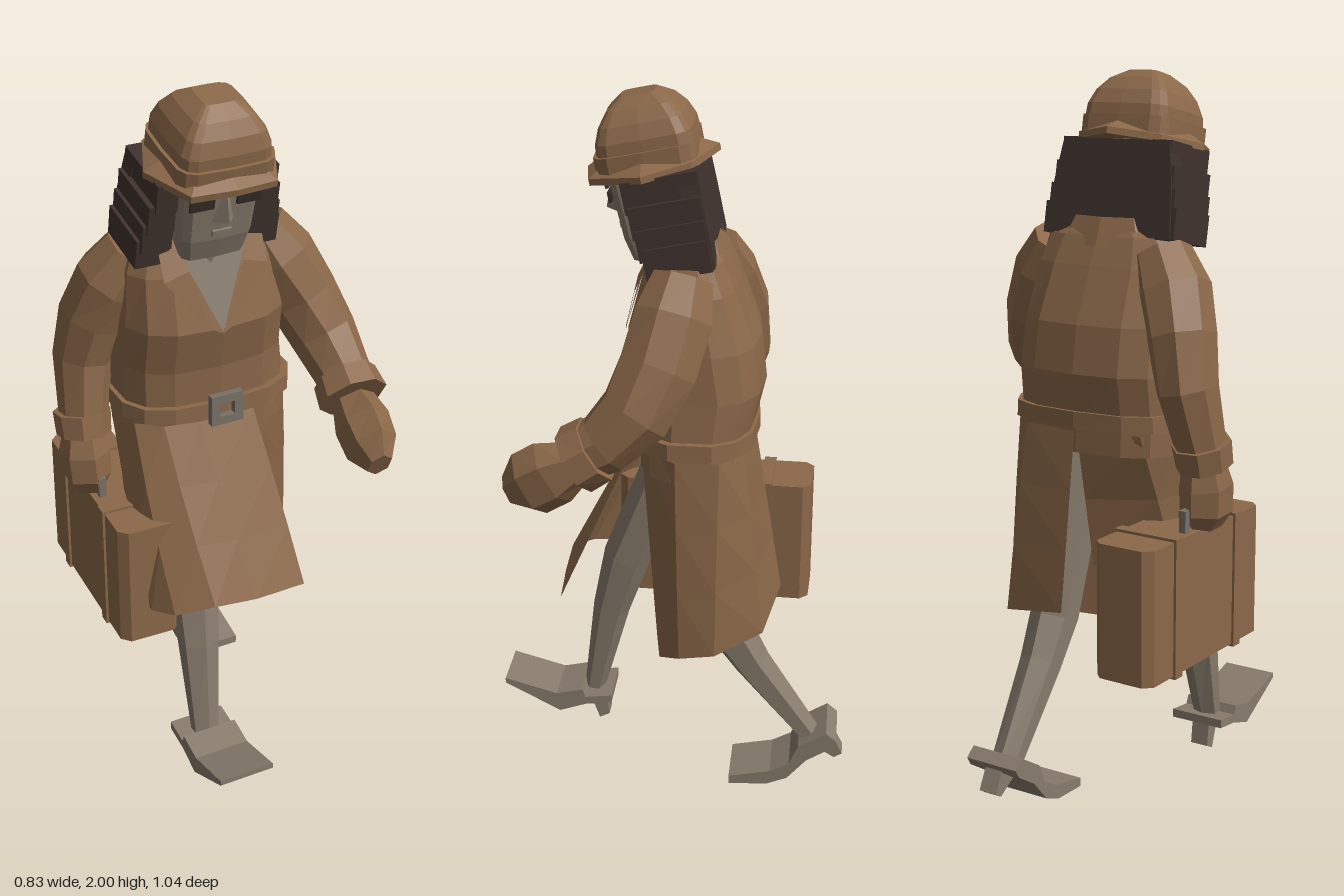
import * as THREE from 'three';

const mat = (name, color, side = THREE.FrontSide) => {
  const m = new THREE.MeshStandardMaterial({ color, flatShading: true, side });
  m.name = name;
  return m;
};
const V = (x, y, z) => new THREE.Vector3(x, y, z);

// Skin a list of cross-sections; rings run anticlockwise about the direction of travel
function loft(rings, closed = true) {
  const pos = [];
  const tri = (...ps) => ps.forEach(p => pos.push(p.x, p.y, p.z));
  const n = rings[0].length;
  for (let j = 0; j < rings.length - 1; j++) {
    for (let i = 0; i < (closed ? n : n - 1); i++) {
      const k = (i + 1) % n, a = rings[j], b = rings[j + 1];
      tri(a[i], a[k], b[k]);
      tri(a[i], b[k], b[i]);
    }
  }
  if (closed) {
    const a = rings[0], b = rings[rings.length - 1];
    for (let i = 1; i < n - 1; i++) { tri(a[0], a[i + 1], a[i]); tri(b[0], b[i], b[i + 1]); }
  }
  const g = new THREE.BufferGeometry();
  g.setAttribute('position', new THREE.Float32BufferAttribute(pos, 3));
  g.computeVertexNormals();
  return g;
}

// Horizontal squarish ring; angles in degrees from the front towards +x
const around = n => Array.from({ length: n }, (_, i) => 360 * i / n);
function ring([y, x0, x1, zf, zb], angles = around(14), pow = 0.72) {
  const soft = v => Math.sign(v) * Math.abs(v) ** pow;
  return angles.map(d => {
    const t = d * Math.PI / 180;
    return V((x0 + x1) / 2 + soft(Math.sin(t)) * (x1 - x0) / 2, y,
      (zf + zb) / 2 + soft(Math.cos(t)) * (zf - zb) / 2);
  });
}

// Limb through points [x, y, z, rx, rz]
function limb(pts, sides = 8) {
  const c = pts.map(p => V(p[0], p[1], p[2]));
  return loft(c.map((p, i) => {
    const t = c[Math.min(i + 1, c.length - 1)].clone().sub(c[Math.max(i - 1, 0)]).normalize();
    const u = V(1, 0, 0).addScaledVector(t, -t.x).normalize();
    const v = t.clone().cross(u);
    return Array.from({ length: sides }, (_, k) => {
      const a = (k + 0.5) / sides * Math.PI * 2;
      return p.clone().addScaledVector(u, Math.cos(a) * pts[i][3]).addScaledVector(v, Math.sin(a) * pts[i][4]);
    });
  }));
}

const shape = pts => new THREE.Shape(pts.map(p => new THREE.Vector2(p[0], p[1])));
const extrude = (s, depth) => new THREE.ExtrudeGeometry(s, { depth, bevelEnabled: false }).translate(0, 0, -depth / 2);
// Side profile of (z, y) points, given a width in x
const profile = (pts, width) => extrude(shape(pts), width).rotateY(-Math.PI / 2);
// Plan outline of (x, z) points, given a height
const plan = (pts, height) => extrude(shape(pts.map(p => [p[0], -p[1]])), height).rotateX(-Math.PI / 2);

export function createModel() {
  const coat = mat('coat brown', 0x8b6849, THREE.DoubleSide);
  const skin = mat('grey skin', 0x877b6c, THREE.DoubleSide);
  const hairMat = mat('dark hair', 0x3f322d);
  const metal = mat('dull metal', 0x777067);
  const dark = mat('dark lens', 0x352d29);

  const model = new THREE.Group();
  const add = (name, geo, material, parent = model) => {
    const m = new THREE.Mesh(geo, material);
    m.name = name;
    parent.add(m);
  };
  const box = (name, w, h, d, x, y, z, material, parent) =>
    add(name, new THREE.BoxGeometry(w, h, d).translate(x, y, z), material, parent);

  // Coat body
  add('coatBody', loft([
    [1.0, -0.26, 0.235, 0.08, -0.235], [1.09, -0.262, 0.228, 0.08, -0.235], [1.22, -0.265, 0.218, 0.088, -0.265],
    [1.35, -0.265, 0.21, 0.118, -0.25], [1.5, -0.255, 0.19, 0.078, -0.19], [1.575, -0.23, 0.165, 0.05, -0.155],
    [1.612, -0.17, 0.09, 0.02, -0.13],
  ].map(r => ring(r))), coat);

  // Skirt: the right half swings forward, the left half swings back
  const panel = (name, top, angles, hem) => {
    const a = ring(top, angles);
    const rows = [0, 0.33, 0.66, 1].map(t => a.map((p, i) =>
      p.clone().lerp(V(...hem[i]), t).add(V(p.x * 0.1 * t * (1 - t), 0, 0))));
    add(name, loft(rows, false), coat);
  };
  panel('leftSkirt', [1.06, -0.262, 0.238, 0.078, -0.24], [-25, 10, 45, 80, 110, 145, 180],
    [[-0.09, 0.44, 0.02], [0.08, 0.44, 0.03], [0.2, 0.44, 0.01], [0.255, 0.47, -0.05],
      [0.265, 0.49, -0.15], [0.19, 0.53, -0.28], [-0.02, 0.57, -0.32]]);
  panel('rightSkirt', [1.06, -0.268, 0.235, 0.088, -0.236], [15, -10, -35, -65, -100, -140, -180],
    [[0.135, 0.58, 0.3], [-0.02, 0.585, 0.31], [-0.15, 0.6, 0.31], [-0.25, 0.57, 0.26],
      [-0.29, 0.555, 0.19], [-0.25, 0.5, -0.03], [-0.04, 0.47, -0.15]]);

  // Belt and buckle
  add('belt', loft([[1.07, -0.278, 0.246, 0.098, -0.25], [1.115, -0.276, 0.244, 0.098, -0.25]].map(r => ring(r))), coat);
  const frame = shape([[-0.048, -0.045], [0.048, -0.045], [0.048, 0.045], [-0.048, 0.045]]);
  frame.holes.push(new THREE.Path([[-0.022, -0.02], [-0.022, 0.02], [0.022, 0.02], [0.022, -0.02]].map(p => new THREE.Vector2(...p))));
  add('buckle', extrude(frame, 0.02).translate(-0.018, 1.1, 0.108), metal);

  // Open neckline, lapels and collar
  add('neckline', loft([[V(-0.135, 1.575, 0.058), V(0.065, 1.575, 0.058)], [V(-0.036, 1.345, 0.125), V(-0.034, 1.345, 0.125)]], false), skin);
  for (const s of [-1, 1]) {
    const x = d => -0.035 + s * d;
    add(s > 0 ? 'leftLapel' : 'rightLapel', loft([
      [V(x(0.09), 1.61, 0.04), V(x(0.15), 1.58, 0.045)], [V(x(0.08), 1.52, 0.082), V(x(0.15), 1.5, 0.082)],
      [V(x(0), 1.34, 0.126), V(x(0.035), 1.36, 0.122)]], false), coat);
  }
  const collarAngles = [35, 70, 105, 140, 180, 220, 255, 290, 325];
  add('collar', loft([[1.55, -0.2, 0.13, 0.06, -0.17], [1.625, -0.16, 0.09, 0.05, -0.14]].map(r => ring(r, collarAngles)), false), coat);

  // Arms, cuffs and hands
  const arm = (side, sleeve, cuff, hand) => {
    add(side + 'Sleeve', limb(sleeve), coat);
    add(side + 'Cuff', limb(cuff), coat);
    add(side + 'Hand', limb(hand, 6), coat);
  };
  arm('left',
    [[0.15, 1.55, -0.05, 0.08, 0.085], [0.2, 1.46, -0.03, 0.105, 0.11], [0.262, 1.34, 0.005, 0.1, 0.11],
      [0.307, 1.23, 0.06, 0.093, 0.1], [0.322, 1.15, 0.14, 0.08, 0.085], [0.32, 1.11, 0.21, 0.075, 0.075]],
    [[0.323, 1.135, 0.16, 0.09, 0.092], [0.32, 1.1, 0.215, 0.099, 0.095]],
    [[0.318, 1.09, 0.22, 0.06, 0.065], [0.312, 1.055, 0.28, 0.074, 0.095], [0.306, 1.015, 0.345, 0.068, 0.095], [0.3, 0.99, 0.4, 0.035, 0.045]]);
  arm('right',
    [[-0.195, 1.53, -0.09, 0.08, 0.085], [-0.25, 1.44, -0.12, 0.1, 0.105], [-0.295, 1.33, -0.155, 0.09, 0.105],
      [-0.322, 1.2, -0.17, 0.08, 0.095], [-0.342, 1.03, -0.13, 0.068, 0.074]],
    [[-0.345, 1.05, -0.135, 0.08, 0.085], [-0.347, 0.985, -0.12, 0.076, 0.082]],
    [[-0.347, 1.0, -0.125, 0.055, 0.06], [-0.35, 0.93, -0.115, 0.07, 0.08], [-0.348, 0.86, -0.11, 0.068, 0.08], [-0.34, 0.82, -0.11, 0.045, 0.06]]);

  // Legs
  add('rightLeg', limb([[-0.12, 0.98, -0.01, 0.07, 0.07], [-0.14, 0.58, 0.145, 0.07, 0.07], [-0.148, 0.4, 0.195, 0.06, 0.055], [-0.155, 0.12, 0.25, 0.042, 0.032]], 6), skin);
  add('leftLeg', limb([[0.08, 0.95, -0.05, 0.07, 0.065], [0.103, 0.5, -0.175, 0.068, 0.07], [0.1, 0.38, -0.25, 0.06, 0.055], [0.095, 0.13, -0.435, 0.045, 0.032]], 6), skin);

  // Shoes with narrow heels
  const shoe = (side, x, body, heel) => {
    add(side + 'Shoe', profile(body, 0.164).translate(x, 0, 0), skin);
    add(side + 'Heel', profile(heel, 0.055).translate(x, 0, 0), skin);
  };
  shoe('right', -0.155,
    [[0.518, 0.15], [0.518, 0.166], [0.36, 0.122], [0.28, 0.14], [0.27, 0.115], [0.19, 0.125], [0.19, 0.1], [0.27, 0.09], [0.35, 0.062]],
    [[0.205, 0.025], [0.235, 0.01], [0.265, 0.095], [0.215, 0.11]]);
  shoe('left', 0.09,
    [[-0.19, 0.005], [-0.3, 0.01], [-0.36, 0.035], [-0.415, 0.1], [-0.485, 0.145], [-0.5, 0.17], [-0.47, 0.195],
      [-0.39, 0.145], [-0.365, 0.085], [-0.31, 0.055], [-0.19, 0.03]],
    [[-0.43, 0.12], [-0.495, 0.08], [-0.518, 0.095], [-0.48, 0.17]]);

  // Suitcase
  const bag = new THREE.Group();
  bag.name = 'suitcase';
  bag.position.set(-0.268, 0, -0.115);
  bag.rotation.y = -0.03;
  model.add(bag);
  const [w, d, c] = [0.09, 0.283, 0.024];
  add('case', plan([[-w + c, -d], [w - c, -d], [w, -d + c], [w, d - c], [w - c, d], [-w + c, d], [-w, d - c], [-w, -d + c]], 0.37).translate(0, 0.63, 0), coat, bag);
  for (const z of [-0.15, 0.15]) {
    box('strap', 0.194, 0.385, 0.035, 0, 0.63, z, coat, bag);
    box('handlePost', 0.02, 0.06, 0.02, -0.062, 0.84, z * 0.5, metal, bag);
  }
  box('handleBar', 0.022, 0.02, 0.17, -0.062, 0.865, 0, metal, bag);

  // Head, tilted forward about the neck
  const head = new THREE.Group();
  head.name = 'head';
  head.position.set(-0.045, 1.55, 0);
  head.rotation.x = 0.2;
  model.add(head);
  add('neck', new THREE.CylinderGeometry(0.075, 0.09, 0.16, 8).translate(0, 0.02, -0.01), skin, head);
  add('face', loft([[0.025, -0.092, 0.092, 0.095, -0.08], [0.09, -0.104, 0.104, 0.108, -0.1], [0.28, -0.112, 0.112, 0.115, -0.1]]
    .map(r => ring(r, around(12), 0.36))), skin, head);
  add('nose', loft([[V(-0.034, 0.148, 0.105), V(0, 0.162, 0.147), V(0.034, 0.148, 0.105)],
    [V(-0.01, 0.23, 0.11), V(0, 0.23, 0.12), V(0.01, 0.23, 0.11)]]), skin, head);
  for (const s of [-1, 1]) {
    box('eye', 0.068, 0.028, 0.008, s * 0.066, 0.21, 0.115, dark, head);
    box('brow', 0.074, 0.01, 0.009, s * 0.064, 0.24, 0.116, hairMat, head);
  }
  box('lips', 0.055, 0.016, 0.009, 0, 0.115, 0.112, skin, head);

  // Hair: tapered back slab and stepped locks at the sides
  add('backHair', loft([[0.0, 0.195, -0.08], [0.13, 0.185, -0.085], [0.255, 0.165, -0.08]]
    .map(([y, x, z]) => [V(x, y, z), V(x, y, -0.135), V(-x, y, -0.135), V(-x, y, z)])), hairMat, head);
  for (const s of [-1, 1]) {
    [[0.215, 0.17, 0.07], [0.15, 0.185, 0.062], [0.09, 0.195, 0.055], [0.04, 0.205, 0.045]].forEach(([y, out, front]) =>
      box('sideHair', out - 0.11, 0.085, front + 0.13, s * (out + 0.11) / 2, y, (front - 0.13) / 2, hairMat, head));
  }

  // Hat with a brim that droops at the sides
  const brim = [[0, 0.172], [0.12, 0.155], [0.184, 0.01], [0.13, -0.12], [0, -0.185], [-0.13, -0.12], [-0.184, 0.01], [-0.12, 0.155]];
  add('hatBrim', loft([[1, 0.262], [1, 0.28], [0.72, 0.305]].map(([k, y]) =>
    brim.map(([x, z]) => V(x * k, y - Math.abs(x) * k * 0.06, z * k)))), coat, head);
  add('hatBand', loft([0.275, 0.32].map(y => ring([y, -0.14, 0.14, 0.14, -0.138], around(16), 0.4))), coat, head);
  add('hatCrown', loft([[0.28, 0.133], [0.35, 0.128], [0.39, 0.112], [0.425, 0.085], [0.452, 0.045]]
    .map(([y, r]) => ring([y, -r, r, r, -r - 0.004], around(16), 0.35))), coat, head);

  return model;
}
